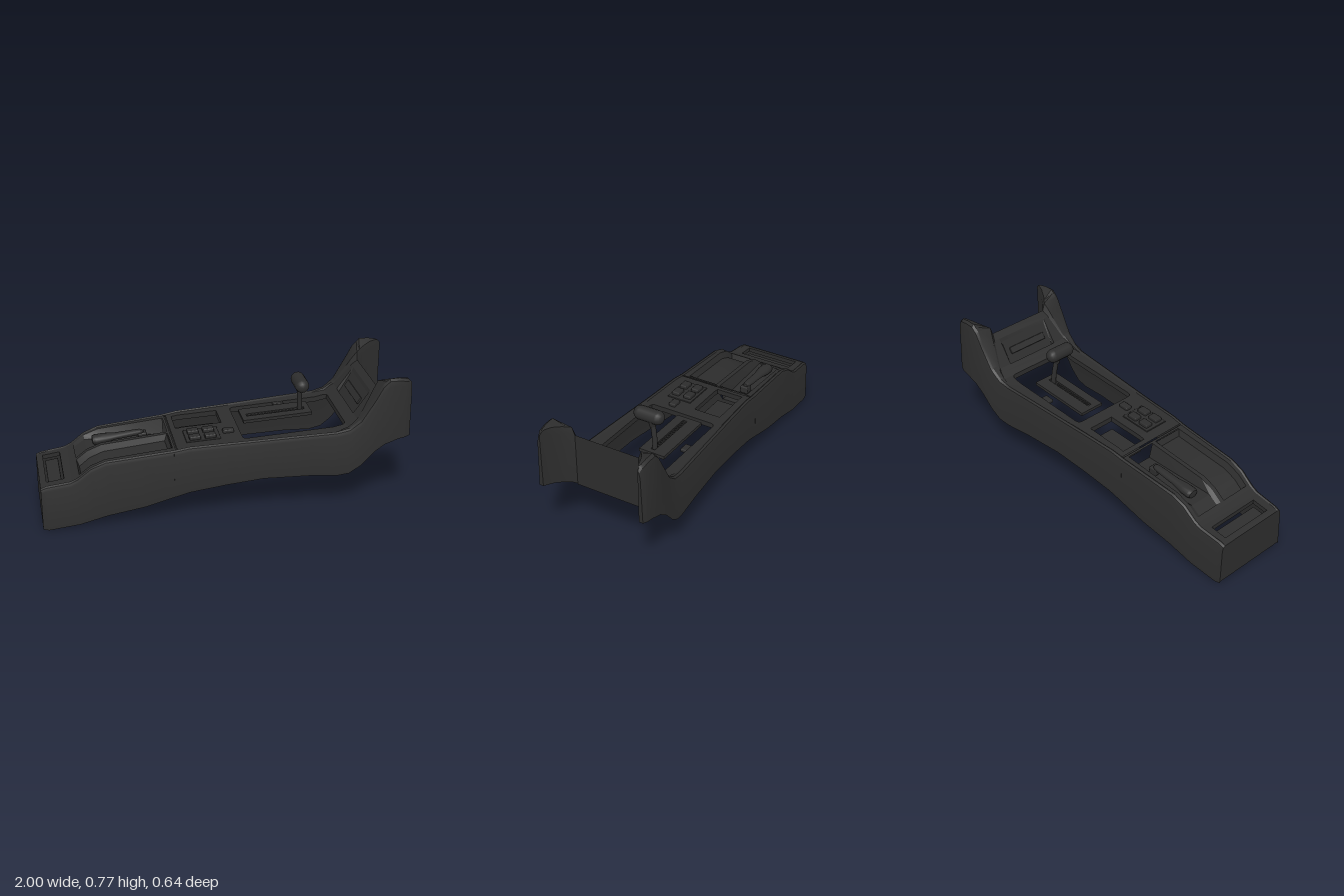
import * as THREE from 'three';
import { mergeGeometries, toCreasedNormals } from 'three/addons/utils/BufferGeometryUtils.js';
import { RoundedBoxGeometry } from 'three/addons/geometries/RoundedBoxGeometry.js';

const plastic = new THREE.MeshStandardMaterial({ color: 0x2d2d2d, side: THREE.DoubleSide });
plastic.name = 'charcoal plastic';

// Profiles along the length, as x, value pairs
const TOP = [[-1, 0.25], [-0.97, 0.262], [-0.84, 0.28], [-0.8, 0.3], [-0.73, 0.355], [-0.65, 0.387], [-0.28, 0.421],
  [-0.2, 0.435], [0.1, 0.448], [0.4, 0.463], [0.6, 0.472], [0.67, 0.49], [0.73, 0.54],
  [0.8, 0.66], [0.84, 0.735], [0.875, 0.77], [0.93, 0.77], [0.98, 0.76], [1, 0.74]];
const BOTTOM = [[-1, 0.012], [-0.97, 0.003], [-0.8, 0.025], [-0.65, 0.065], [-0.45, 0.1], [-0.2, 0.17], [0, 0.2],
  [0.2, 0.225], [0.45, 0.225], [0.6, 0.215], [0.67, 0.227], [0.73, 0.27], [0.8, 0.35], [0.86, 0.395], [0.93, 0.42], [1, 0.432]];
const HALF = [[-1, 0.228], [-0.8, 0.236], [-0.26, 0.25], [0, 0.261], [0.6, 0.297], [0.8, 0.318], [0.9, 0.322], [0.97, 0.318], [1, 0.308]];
const DECK = [[-1, 0.246], [-0.97, 0.257], [-0.84, 0.275], [-0.8, 0.295], [-0.73, 0.35], [-0.65, 0.381], [-0.28, 0.415],
  [-0.2, 0.428], [0.1, 0.441], [0.4, 0.456], [0.6, 0.466], [0.67, 0.48], [0.72, 0.523], [0.81, 0.65], [0.84, 0.682]];
const INNER = [[-1, 0.2], [-0.26, 0.22], [0.1, 0.235], [0.6, 0.262], [0.7, 0.25], [0.84, 0.188], [0.88, 0.222], [0.93, 0.254], [1, 0.285]];

function at(table, x) {
  let i = 1;
  while (i < table.length - 1 && table[i][0] < x) i++;
  const [a, b] = [table[i - 1], table[i]];
  return THREE.MathUtils.clamp((x - a[0]) / (b[0] - a[0]), 0, 1) * (b[1] - a[1]) + a[1];
}
const deck = (x) => at(DECK, x);
const inner = (x) => at(INNER, x);
const KNOTS = [...new Set([TOP, BOTTOM, HALF, INNER, DECK].flat().map((p) => p[0]))].sort((a, b) => a - b);
const between = (x0, x1) => [x0, ...KNOTS.filter((x) => x > x0 + 1e-4 && x < x1 - 1e-4), x1];

// Upper inner edge of the side walls and wings
const rise = (x) => THREE.MathUtils.clamp((x - 0.6) / 0.24, 0, 1);
const innerTop = (x) => Math.min(at(TOP, x), x < 0.84 ? deck(x) + 0.043 * rise(x) : 0.725 + 0.5 * (inner(x) - 0.188));
const innerTopZ = (x) => inner(x) + 0.015 * rise(x) * THREE.MathUtils.clamp((1 - x) / 0.16, 0, 1);

// Surface skinned over rows of points
function sheet(rows) {
  const n = rows[0].length, index = [];
  for (let i = 0; i < rows.length - 1; i++) {
    for (let j = 0; j < n - 1; j++) {
      const a = i * n + j, b = a + n;
      index.push(a, b, a + 1, b, b + 1, a + 1);
    }
  }
  const g = new THREE.BufferGeometry();
  g.setAttribute('position', new THREE.Float32BufferAttribute(rows.flat(2), 3));
  g.setIndex(index);
  return toCreasedNormals(g, 0.5);
}

// Band of the deck between two z limits (numbers or functions of x)
const value = (z, x) => (typeof z === 'function' ? z(x) : z);
const strip = (x0, x1, z0, z1, dy = 0) => sheet(between(x0, x1).map((x) =>
  [[x, deck(x) + dy, value(z0, x)], [x, deck(x) + dy, value(z1, x)]]));

// Tapered rim walls of an opening, with an optional floor; the +x end may stay open
function recess(x0, x1, z0, z1, inset, floorAt, hasFloor, openEnd = false) {
  const xs = between(x0, x1);
  const loop = [...xs.slice().reverse().map((x) => [x, z0]), ...xs.map((x) => [x, z1])];
  if (!openEnd) loop.push([x1, z0]);
  const cx = (x0 + x1) / 2, cz = (z0 + z1) / 2;
  const kx = openEnd ? 1 : 1 - 2 * inset / (x1 - x0), kz = 1 - 2 * inset / (z1 - z0);
  const low = ([x, z]) => [cx + (x - cx) * kx, floorAt(x), cz + (z - cz) * kz];
  const parts = [sheet(loop.map((p) => [[p[0], deck(p[0]), p[1]], low(p)]))];
  if (hasFloor) parts.push(sheet(xs.map((x) => [low([x, z0]), low([x, z1])])));
  return mergeGeometries(parts);
}
const below = (depth) => (x) => deck(x) - depth;

export function createModel() {
  const model = new THREE.Group();
  model.name = 'centreConsole';
  const add = (name, geometry) => {
    const mesh = new THREE.Mesh(geometry, plastic);
    mesh.name = name;
    model.add(mesh);
    return mesh;
  };
  // Box lying along the deck slope
  const block = (name, x, z, l, h, w, dy, r = 0.006) => {
    const mesh = add(name, new RoundedBoxGeometry(l, h, w, 1, r));
    mesh.position.set(x, deck(x) + dy, z);
    mesh.rotation.z = Math.atan2(deck(x + 0.03) - deck(x - 0.03), 0.06);
    return mesh;
  };

  // Side walls rolling over into the deck, then into the rear wings
  for (const s of [1, -1]) {
    const side = s > 0 ? 'left' : 'right';
    add(side + 'Wall', sheet(between(-1, 1).map((x) => {
      const t = at(TOP, x), h = at(HALF, x), wing = rise(x), drop = 0.025 + 0.015 * wing;
      return [[x, at(BOTTOM, x), s * h], [x, t - drop, s * (h - 0.005 - 0.004 * wing)],
        [x, t - drop * 0.3, s * (h - 0.011 - 0.004 * wing)],
        [x, t, s * Math.max(h - 0.022 - 0.008 * wing, innerTopZ(x))], [x, innerTop(x), s * innerTopZ(x)]];
    })));
    add(side + 'WingInnerFace', sheet(between(0.84, 1).map((x) =>
      [[x, innerTop(x), s * innerTopZ(x)], [x, innerTop(x) - 0.043, s * inner(x)], [x, at(BOTTOM, x), s * inner(x)]])));
    add(side + 'WingEnd', sheet([[0.432, 0.308], [0.7, 0.299], [0.728, 0.293], [0.74, 0.285]].map(([y, z]) =>
      [[1, y, s * z], [1, y, s * 0.285]])));
    // Step from the sloping panel up to the wing
    add(side + 'WingStep', sheet(between(0.6, 0.84).map((x) =>
      [[x, deck(x), s * inner(x)], [x, innerTop(x), s * innerTopZ(x)]])));
  }

  // Deck bands, each with the openings it must leave
  const bands = [[-1, -0.965, []], [-0.965, -0.87, [[-0.165, 0.155]]], [-0.87, -0.79, []],
    [-0.79, -0.285, [[-0.19, -0.015], [0.01, 0.185]]], [-0.285, -0.272, []], [-0.264, -0.235, []],
    [-0.235, 0.022, [[-0.185, -0.028]]], [0.022, 0.1, []], [0.1, 0.67, [[-0.2, 0.2]]],
    [0.67, 0.72, []], [0.72, 0.81, [[-0.165, 0.165]]], [0.81, 0.84, []]];
  const pieces = [];
  for (const [x0, x1, holes] of bands) {
    let z = (x) => -inner(x);
    for (const [a, b] of holes) {
      pieces.push(strip(x0, x1, z, a));
      z = b;
    }
    pieces.push(strip(x0, x1, z, inner));
  }
  // Rounded corners of the large opening
  for (const [x, sx] of [[0.1, 1], [0.67, -1]]) {
    for (const s of [1, -1]) {
      pieces.push(sheet([0, 1, 2, 3, 4].map((i) => {
        const a = i * Math.PI / 8, px = x + sx * 0.025 * (1 - Math.cos(a));
        return [[x, deck(x), s * 0.2], [px, deck(px), s * (0.175 + 0.025 * Math.sin(a))]];
      })));
    }
  }
  add('deck', mergeGeometries(pieces));
  add('deckSeam', strip(-0.272, -0.264, (x) => -inner(x), inner, -0.008));

  // End wall, inner bulkhead notched under the brake well, and back plate
  add('endWall', sheet([[0.02, 0.228], [0.225, 0.223], [0.2425, 0.217], [0.25, 0.206], [0.246, 0.2]].map(([y, z]) =>
    [[-1, y, -z], [-1, y, z]])));
  add('bulkhead', sheet([[-0.248, 0.332], [-0.035, 0.332], [0, 0.378], [0.01, 0.412], [0.248, 0.408]].map(([z, y]) =>
    [[-0.285, 0.147, z], [-0.285, y, z]])));
  add('backPlate', sheet([-1, 1].map((s) => [[0.84, 0.375, s * 0.188], [0.84, 0.682, s * 0.188]])));

  // Openings and trays
  add('frontOpeningRim', recess(-0.965, -0.87, -0.165, 0.155, 0, below(0.025), false));
  block('frontInsert', -0.917, -0.005, 0.072, 0.01, 0.3, -0.035, 0.003);
  add('brakeRecess', recess(-0.79, -0.285, -0.19, -0.015, 0.022, (x) => Math.min(0.332, deck(x) - 0.012), true, true));
  add('storageTray', recess(-0.79, -0.29, 0.01, 0.185, 0.014, below(0.035), true));
  add('ashtrayRim', recess(-0.235, 0.022, -0.185, -0.028, 0, below(0.03), false));
  block('ashtrayInsert', -0.107, -0.103, 0.232, 0.02, 0.134, -0.077, 0.003);
  add('shifterOpeningRim', recess(0.1, 0.67, -0.2, 0.2, 0, below(0.03), false));
  add('rearPanelRecess', recess(0.72, 0.81, -0.165, 0.165, 0.008, below(0.02), true));
  block('rearVent', 0.765, 0, 0.04, 0.012, 0.25, -0.014, 0.004);

  // Hand brake
  const profile = [[0, 0], [0.03, 0.004], [0.036, 0.02], [0.035, 0.07], [0.025, 0.13], [0.021, 0.27], [0.012, 0.288], [0, 0.292]];
  const lever = add('handBrakeLever', toCreasedNormals(
    new THREE.LatheGeometry(profile.map((p) => new THREE.Vector2(...p)), 14), 0.5));
  lever.scale.x = 0.75;
  lever.rotation.z = -Math.PI / 2 + 0.1;
  lever.position.set(-0.692, 0.352, -0.115);
  block('brakePivot', -0.41, -0.115, 0.05, 0.04, 0.05, -0.045);

  // Switches
  block('switchPlate', -0.11, 0.095, 0.19, 0.01, 0.145, 0.001, 0.003);
  for (const x of [-0.155, -0.07]) {
    for (const z of [0.06, 0.134]) block('switch', x, z, 0.062, 0.026, 0.046, 0.011);
  }
  block('smallSwitch', 0.037, 0.093, 0.062, 0.022, 0.04, 0.007);

  // Gear selector
  const points = (list) => list.map((p) => new THREE.Vector2(...p));
  const gate = new THREE.Shape(points([[-0.195, -0.14], [0.195, -0.14], [0.195, 0.01], [-0.195, 0.01]]));
  gate.holes.push(new THREE.Path(points([[-0.165, -0.068], [-0.165, -0.042], [0.165, -0.042], [0.165, -0.068]])));
  const plate = add('selectorPlate', new THREE.ExtrudeGeometry(gate, { depth: 0.018, bevelEnabled: false })
    .rotateX(Math.PI / 2));
  plate.position.set(0.335, deck(0.335) + 0.012, 0);
  plate.rotation.z = 0.05;
  block('gateInsert', 0.335, -0.055, 0.34, 0.006, 0.034, -0.006, 0.002);
  for (let i = 0; i < 14; i++) block('gateTooth', 0.18 + i * 0.02, -0.055, 0.01, 0.01, 0.024, 0.002, 0.002);
  block('sideBracket', 0.38, -0.183, 0.06, 0.02, 0.036, -0.006);
  const path = new THREE.CatmullRomCurve3([[0.478, 0.44, -0.055], [0.472, 0.52, -0.05], [0.463, 0.64, -0.03]]
    .map((p) => new THREE.Vector3(...p)));
  add('selectorStick', new THREE.TubeGeometry(path, 6, 0.014, 10));
  const collar = add('selectorCollar', new THREE.CylinderGeometry(0.026, 0.016, 0.04, 12));
  collar.position.set(0.465, 0.61, -0.035);
  const knob = add('selectorKnob', new THREE.CapsuleGeometry(0.039, 0.1, 5, 14));
  knob.rotation.x = Math.PI / 2;
  knob.position.set(0.461, 0.651, -0.012);
  return model;
}
